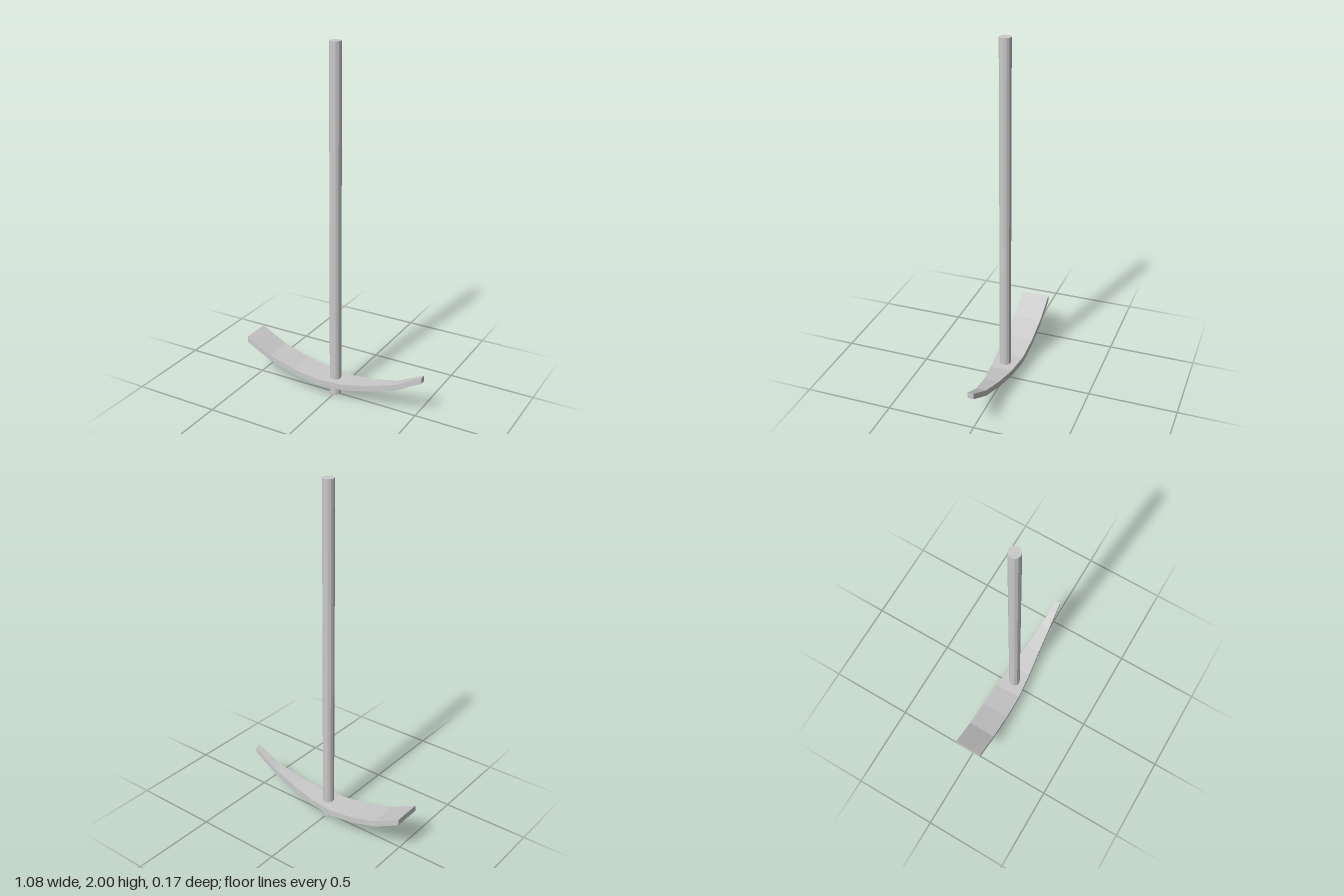
import * as THREE from 'three';

const material = new THREE.MeshStandardMaterial({ color: 0xcccccc, flatShading: true });

// Curved head: a segmented bar bent upward at both ends and tapered from a broad blade to a pick point
function makeHead() {
  const xs = [-0.54, -0.385, -0.23, -0.077, 0.077, 0.23, 0.385, 0.537];
  const tops = [0.252, 0.171, 0.126, 0.1, 0.1, 0.126, 0.171, 0.252];
  const halfWidths = [0.083, 0.083, 0.083, 0.079, 0.062, 0.043, 0.028, 0.016];
  const thickness = 0.035;
  const segments = xs.length - 1;

  const geometry = new THREE.BoxGeometry(segments, 1, 2, segments, 1, 1);
  const p = geometry.attributes.position;
  for (let i = 0; i < p.count; i++) {
    const s = Math.round(p.getX(i) + segments / 2);
    const y = tops[s] - (p.getY(i) < 0 ? thickness : 0);
    p.setXYZ(i, xs[s], y, p.getZ(i) * halfWidths[s] - 0.002);
  }
  geometry.computeVertexNormals();
  const head = new THREE.Mesh(geometry, material);
  head.name = 'pickHead';
  return head;
}

// Straight handle passing through the head
function makeHandle() {
  const handle = new THREE.Mesh(new THREE.CylinderGeometry(0.0325, 0.0325, 2, 12), material);
  handle.name = 'handle';
  handle.position.y = 1;
  return handle;
}

export function createModel() {
  const group = new THREE.Group();
  group.name = 'pickaxe';
  group.add(makeHandle(), makeHead());
  return group;
}
